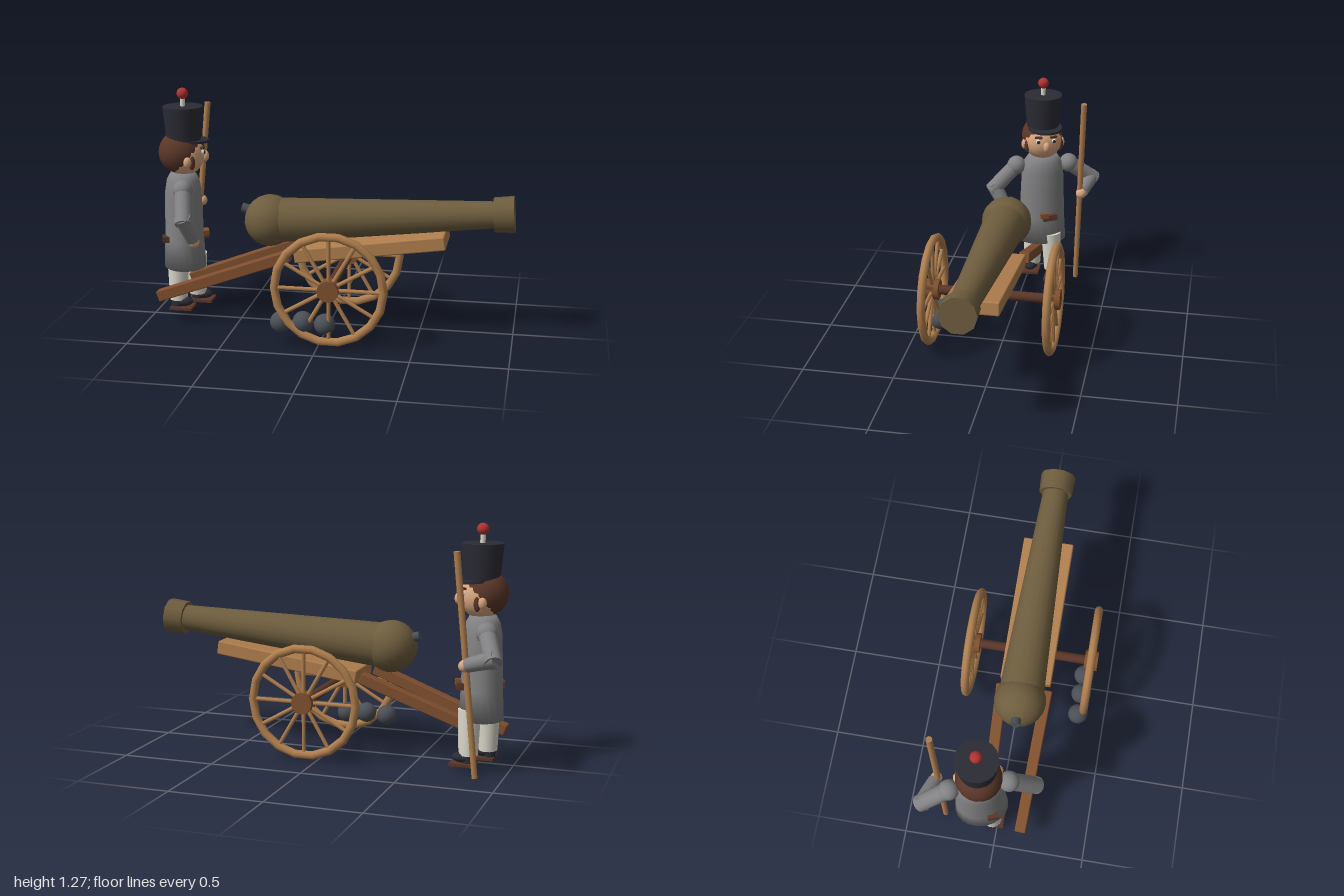
import * as THREE from 'three';
import { RoundedBoxGeometry } from 'three/addons/geometries/RoundedBoxGeometry.js';

const V = (x, y, z) => new THREE.Vector3(x, y, z);
const mat = (name, color) => {
  const m = new THREE.MeshStandardMaterial({ color });
  m.name = name;
  return m;
};

export function createModel() {
  const bronze = mat('bronze', 0x6e5d3e), lightWood = mat('lightWood', 0xb07f4e);
  const midWood = mat('midWood', 0x80502f), darkBrown = mat('darkBrown', 0x5a3628);
  const grey = mat('greyCloth', 0x828284), navy = mat('navy', 0x2b2b35);
  const cream = mat('cream', 0xdcd8cc), skin = mat('skin', 0xd8a680);
  const red = mat('red', 0xb23232), iron = mat('iron', 0x4a5056);

  const model = new THREE.Group();
  const add = (parent, name, geo, material, pos = [0, 0, 0], rot = [0, 0, 0], scale = [1, 1, 1]) => {
    const m = new THREE.Mesh(geo, material);
    m.name = name;
    m.position.set(...pos);
    m.rotation.set(...rot);
    m.scale.set(...scale);
    parent.add(m);
    return m;
  };
  const group = (parent, name, pos, rot = [0, 0, 0]) => {
    const g = new THREE.Group();
    g.name = name;
    g.position.set(...pos);
    g.rotation.set(...rot);
    parent.add(g);
    return g;
  };
  const ball = (r) => new THREE.SphereGeometry(r, 20, 14);
  const cyl = (rTop, rBottom, h, n = 12) => new THREE.CylinderGeometry(rTop, rBottom, h, n);
  // round bar running from a to b
  const rod = (parent, name, a, b, rA, rB, material, n = 12) => {
    const d = b.clone().sub(a);
    const m = add(parent, name, cyl(rB, rA, d.length(), n), material);
    m.position.copy(a).addScaledVector(d, 0.5);
    m.quaternion.setFromUnitVectors(V(0, 1, 0), d.normalize());
    return m;
  };

  // Gun barrel, lying along its local x axis
  const gun = group(model, 'gun', [-0.32, 0.583, 0.037], [0, 0, 0.072]);
  const along = [0, 0, -Math.PI / 2];
  add(gun, 'breech', ball(0.14), bronze);
  add(gun, 'barrel', cyl(0.07, 0.121, 1.18, 20), bronze, [0.64, 0, 0], along);
  add(gun, 'muzzleRing', cyl(0.097, 0.092, 0.107, 10), bronze, [1.258, 0, 0], along);
  add(gun, 'breechKnob', cyl(0.026, 0.026, 0.06, 10), iron, [-0.122, 0.066, 0], [0, 0, 1.25]);

  // Carriage bed and the two trail beams
  add(model, 'carriageBed', new RoundedBoxGeometry(0.81, 0.075, 0.28, 2, 0.008), lightWood,
    [0.237, 0.482, 0.041], [0, 0, 0.14]);
  const beam = (name, a, b) => {
    const d = b.clone().sub(a);
    const m = add(model, name, new RoundedBoxGeometry(d.length(), 0.06, 0.06, 2, 0.006), midWood);
    m.position.copy(a).addScaledVector(d, 0.5);
    m.rotation.set(0, -Math.atan2(d.z, d.x), Math.atan2(d.y, Math.hypot(d.x, d.z)), 'YZX');
  };
  beam('frontTrail', V(-0.93, 0.15, 0.138), V(-0.19, 0.428, 0.165));
  beam('rearTrail', V(-0.80, 0.2, -0.066), V(-0.19, 0.428, -0.085));

  // Axle and spoked wheels
  rod(model, 'axle', V(0.06, 0.318, -0.3), V(0.06, 0.318, 0.38), 0.027, 0.027, darkBrown);
  for (const z of [0.378, -0.291]) {
    const wheel = group(model, 'wheel', [0.06, 0.318, z]);
    add(wheel, 'rim', new THREE.TorusGeometry(0.287, 0.023, 8, 18), lightWood);
    add(wheel, 'hub', cyl(0.057, 0.057, 0.075, 12), midWood, [0, 0, 0], [Math.PI / 2, 0, 0]);
    for (let i = 0; i < 12; i++) {
      const a = (i * Math.PI) / 6, c = Math.cos(a), s = Math.sin(a);
      rod(wheel, 'spoke', V(0.03 * c, 0.03 * s, 0), V(0.28 * c, 0.28 * s, 0), 0.011, 0.011, lightWood, 8);
    }
  }

  // Shot
  for (const [x, y] of [[-0.2, 0.12], [-0.08, 0.127], [0.035, 0.12]])
    add(model, 'cannonball', ball(0.056), iron, [x, y, 0.35]);

  // Gunner: coat
  const gunner = group(model, 'gunner', [0, 0, 0]);
  const turn = 0.35;
  const body = group(gunner, 'body', [-0.842, 0, -0.087], [0, turn, 0]);
  const profile = [[0, 0.265], [0.146, 0.265], [0.136, 0.42], [0.13, 0.58], [0.125, 0.7], [0.112, 0.76], [0.085, 0.8], [0, 0.815]];
  add(body, 'coat', new THREE.LatheGeometry(profile.map((p) => new THREE.Vector2(...p)), 20), grey,
    [0, 0, 0], [0, 0, 0], [0.8, 1, 1]);

  // Belt pieces
  add(gunner, 'knifeSheath', new THREE.BoxGeometry(0.035, 0.034, 0.085), darkBrown, [-0.742, 0.437, -0.15], [0.1, turn, 0]);
  add(gunner, 'knifeHandle', new THREE.BoxGeometry(0.04, 0.03, 0.045), midWood, [-0.73, 0.452, -0.118], [0.1, turn, 0]);
  add(gunner, 'pouch', new THREE.BoxGeometry(0.055, 0.032, 0.06), darkBrown, [-0.918, 0.433, -0.01], [0, turn, 0]);

  // Legs, boots and soles
  for (const [x, z, footZ] of [[-0.868, -0.034, -0.02], [-0.795, -0.15, -0.175]]) {
    rod(gunner, 'trouserLeg', V(x, 0.08, (z + footZ) / 2), V(x, 0.32, z), 0.05, 0.06, cream, 14);
    add(gunner, 'boot', ball(1), navy, [x + 0.025, 0.07, footZ], [0, 0, 0], [0.058, 0.028, 0.038]);
    add(gunner, 'bootHeel', cyl(0.034, 0.036, 0.05), navy, [x - 0.005, 0.068, footZ]);
    add(gunner, 'sole', new THREE.BoxGeometry(0.125, 0.014, 0.11), darkBrown, [x + 0.025, 0.038, footZ]);
  }

  // Arms: shoulder, elbow, hand
  const arms = [
    [V(-0.8, 0.735, 0.062), V(-0.765, 0.6, 0.185), V(-0.735, 0.455, 0.1)],
    [V(-0.895, 0.735, -0.235), V(-0.955, 0.63, -0.365), V(-0.805, 0.58, -0.325)],
  ];
  for (const [shoulder, elbow, hand] of arms) {
    add(gunner, 'shoulder', ball(0.055), grey, shoulder.toArray());
    rod(gunner, 'upperSleeve', shoulder, elbow.clone().lerp(shoulder, -0.15), 0.046, 0.046, grey, 14);
    rod(gunner, 'lowerSleeve', elbow.clone().lerp(hand, -0.12), elbow.clone().lerp(hand, 0.9), 0.046, 0.036, grey, 14);
    add(gunner, 'hand', ball(0.031), skin, hand.toArray());
  }
  rod(gunner, 'rammerPole', V(-0.862, 0, -0.297), V(-0.76, 1.15, -0.334), 0.015, 0.017, lightWood, 10);

  // Head
  const head = group(gunner, 'head', [-0.832, 0.897, -0.087], [0, turn, 0]);
  add(head, 'face', ball(0.113), skin);
  add(head, 'hair', ball(0.119), darkBrown, [-0.02, 0.018, 0]);
  add(head, 'nose', ball(1), skin, [0.118, -0.01, 0], [0, 0, 0], [0.02, 0.03, 0.02]);
  for (const s of [1, -1]) {
    add(head, 'eyeWhite', ball(0.014), cream, [0.098, 0.02, s * 0.045]);
    add(head, 'pupil', ball(0.01), navy, [0.106, 0.02, s * 0.046]);
    add(head, 'eyebrow', new THREE.BoxGeometry(0.015, 0.011, 0.04), darkBrown, [0.1, 0.046, s * 0.044], [0, -s * 0.4, 0]);
    add(head, 'ear', ball(1), skin, [0.01, -0.02, s * 0.112], [0, 0, 0], [0.022, 0.03, 0.016]);
    add(head, 'sideburn', ball(1), darkBrown, [0.035, -0.025, s * 0.1], [0, 0, 0], [0.018, 0.04, 0.014]);
  }

  // Tall hat with visor and pompom
  add(head, 'hat', cyl(0.11, 0.094, 0.185, 20), navy, [0, 0.18, 0]);
  add(head, 'visor', cyl(0.098, 0.098, 0.013, 20), navy, [0.042, 0.083, -0.006], [0, 0, -0.06]);
  add(head, 'plumeStem', cyl(0.014, 0.014, 0.06, 10), cream, [0, 0.293, 0]);
  add(head, 'pompom', ball(0.031), red, [0, 0.342, 0]);

  return model;
}
